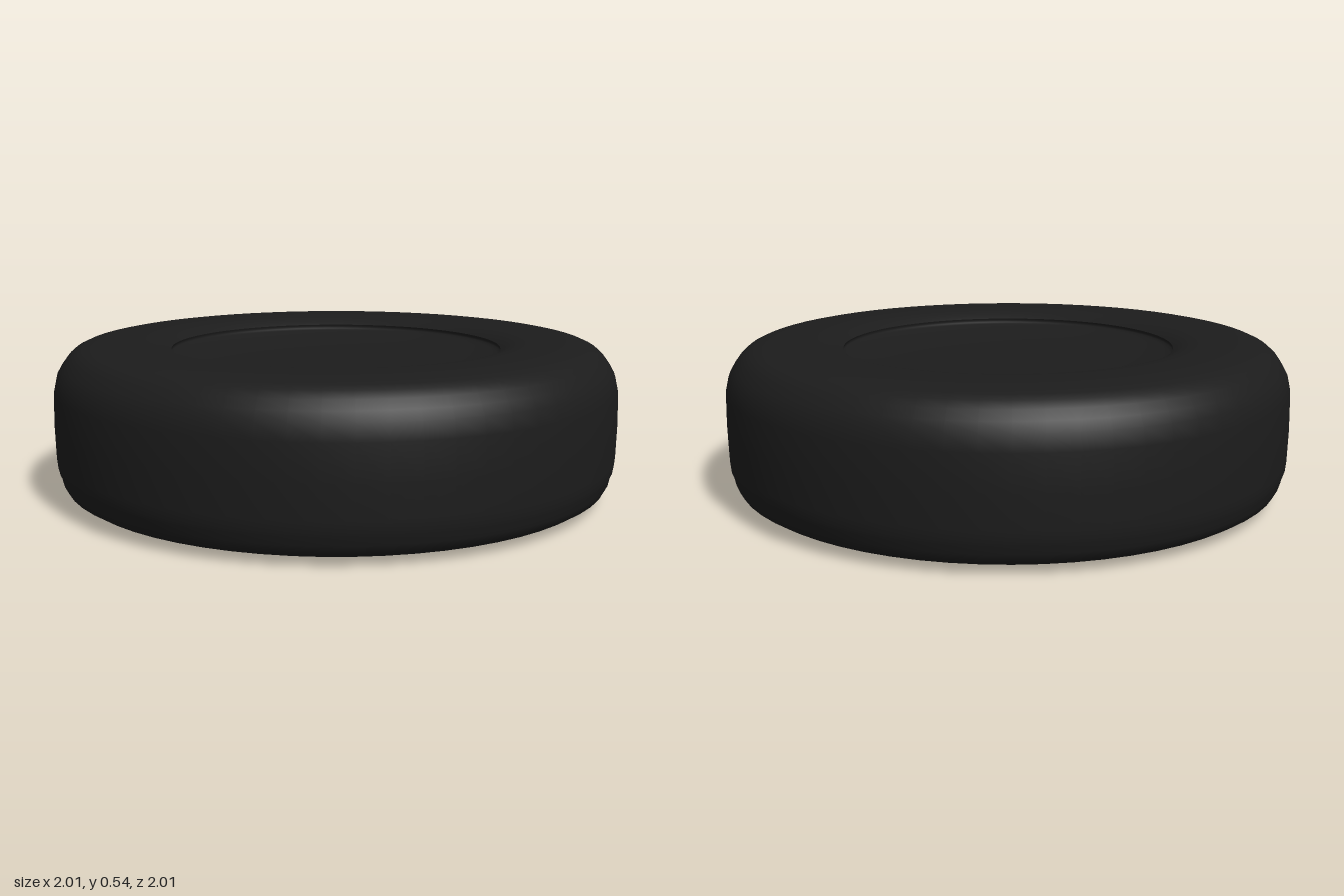
import * as THREE from 'three';

// Turn a smooth curve through a few [radius, height] pairs around the y axis.
function turned(name, profile, divisions, material) {
  const curve = new THREE.SplineCurve(profile.map(([r, y]) => new THREE.Vector2(r, y)));
  const points = curve.getPoints(divisions);
  const mesh = new THREE.Mesh(new THREE.LatheGeometry(points, 64), material);
  mesh.name = name;
  return mesh;
}

export function createModel() {
  const group = new THREE.Group();
  group.name = 'wheel';

  const rubber = new THREE.MeshStandardMaterial({ color: 0x1c1c1c });
  rubber.name = 'black rubber';
  rubber.side = THREE.DoubleSide;

  // Tyre: underside, rounded tread, top face dipping to its inner rim
  group.add(turned('tyre', [
    [0.63, 0.02], [0.68, 0.008], [0.8, 0], [0.9, 0.012], [0.97, 0.045],
    [0.99, 0.1], [1, 0.15], [1, 0.38], [0.97, 0.465], [0.925, 0.515],
    [0.87, 0.533], [0.8, 0.54], [0.7, 0.54], [0.63, 0.53], [0.59, 0.51],
  ], 28, rubber));

  // Hollow inside of the tyre, bulging outward between the two rims
  group.add(turned('innerWall', [
    [0.59, 0.495], [0.66, 0.46], [0.72, 0.38], [0.745, 0.27],
    [0.73, 0.16], [0.69, 0.07], [0.63, 0.02],
  ], 18, rubber));

  // Shallow dished disc with a small raised edge, closing the top
  group.add(turned('dishedDisc', [
    [0.59, 0.51], [0.58, 0.49], [0.45, 0.467], [0.25, 0.457], [0, 0.455],
  ], 16, rubber));

  return group;
}
